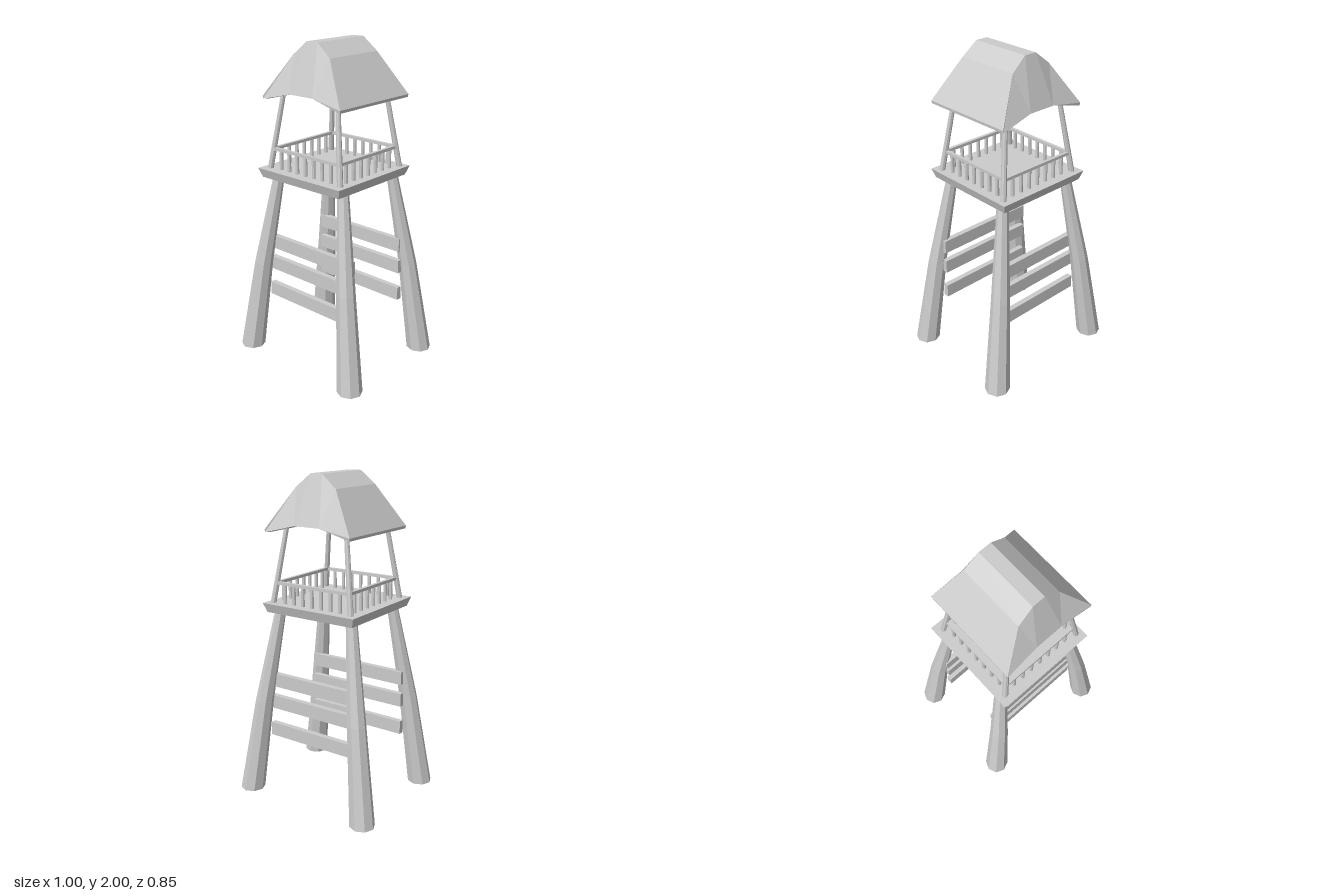
import * as THREE from 'three';

const material = new THREE.MeshStandardMaterial({ color: 0xcccccc, flatShading: true });
const roofMaterial = new THREE.MeshStandardMaterial({ color: 0xcccccc, flatShading: true, side: THREE.DoubleSide });

function add(parent, name, geometry, x = 0, y = 0, z = 0, mat = material) {
  const mesh = new THREE.Mesh(geometry, mat);
  mesh.name = name;
  mesh.position.set(x, y, z);
  parent.add(mesh);
  return mesh;
}

// Leaning pole: horizontal rings [x, y, z, radius] listed from bottom to top.
function pole(rings, sides) {
  const rows = rings.length - 1;
  const geometry = new THREE.CylinderGeometry(1, 1, rows, sides, rows);
  const p = geometry.attributes.position;
  for (let i = 0; i < p.count; i++) {
    const [x, y, z, r] = rings[Math.round(p.getY(i) + rows / 2)];
    p.setXYZ(i, x + p.getX(i) * r, y, z + p.getZ(i) * r);
  }
  geometry.computeVertexNormals();
  return geometry;
}

// Curved roof shell: an 8-point section loop swept through stations along x.
function roofGeometry() {
  // [top x, top y, top z, lower x, lower y, lower z]
  const half = [
    [-0.299, 1.674, 0.304, -0.297, 1.657, 0.302],
    [-0.138, 1.92, 0.204, -0.088, 1.708, 0.293],
    [-0.04, 1.998, 0.197, -0.088, 1.708, 0.293],
  ];
  const mirrored = half.map(([a, b, c, d, e, f]) => [-a, b, c, -d, e, f]).reverse();
  const stations = [...half, ...mirrored];
  const positions = [], index = [];
  stations.forEach(([x, y, z, lx, ly, lz], s) => {
    const end = s === 0 || s === stations.length - 1;
    const ix = lx * 0.94, iz = lz * 0.94;
    const top = end ? [ix, ly + 0.002, iz] : [x * 0.95, y - 0.022, z * 0.93];
    positions.push(
      x, y, z, x, y, -z, lx, ly, -lz, ix, ly, -iz,
      top[0], top[1], -top[2], ...top, ix, ly, iz, lx, ly, lz);
  });
  const quad = (a, b, c, d) => index.push(a, b, c, a, c, d);
  for (let s = 0; s < stations.length - 1; s++) {
    for (let j = 0; j < 8; j++) {
      const k = (j + 1) % 8, o = s * 8;
      quad(o + j, o + 8 + j, o + 8 + k, o + k);
    }
  }
  // Close the two eaves.
  const e = (stations.length - 1) * 8;
  for (const [a, b, c, d] of [[0, 1, 2, 7], [7, 2, 3, 6], [6, 3, 4, 5]]) {
    quad(a, b, c, d);
    quad(e + d, e + c, e + b, e + a);
  }
  const geometry = new THREE.BufferGeometry();
  geometry.setAttribute('position', new THREE.Float32BufferAttribute(positions, 3));
  geometry.setIndex(index);
  geometry.computeVertexNormals();
  return geometry;
}

export function createModel() {
  const tower = new THREE.Group();
  tower.name = 'watchtower';

  // Four splayed legs, slightly bent halfway up
  for (const sx of [-1, 1]) for (const sz of [-1, 1]) {
    add(tower, 'leg', pole([
      [sx * 0.422, 0, sz * 0.348, 0.077],
      [sx * 0.345, 0.6, sz * 0.298, 0.057],
      [sx * 0.257, 1.19, sz * 0.225, 0.034],
    ], 8));
  }

  // Cross planks on the front and back
  for (const z of [0.231, -0.238]) for (const y of [0.398, 0.585, 0.732]) {
    add(tower, 'crossPlank', new THREE.BoxGeometry(z > 0 ? 0.68 : 0.66, 0.085, 0.035), 0, y, z);
  }

  // Platform, narrower underneath
  const slab = new THREE.BoxGeometry(0.65, 0.057, 0.65);
  const p = slab.attributes.position;
  for (let i = 0; i < p.count; i++) {
    if (p.getY(i) < 0) p.setXYZ(i, p.getX(i) * 0.94, p.getY(i), p.getZ(i) * 0.94);
  }
  slab.computeVertexNormals();
  add(tower, 'platform', slab, 0, 1.206, 0.012);

  // Upper cabin frame: leaning posts that carry the roof
  const cabin = new THREE.Group();
  cabin.name = 'cabin';
  cabin.position.set(0.005, 0, 0.01);
  tower.add(cabin);
  for (const sx of [-1, 1]) for (const sz of [-1, 1]) {
    add(cabin, 'roofPost', pole([
      [sx * 0.28, 1.225, sz * 0.272, 0.018],
      [sx * 0.2, 1.76, sz * 0.205, 0.014],
    ], 8));
  }

  // Railing: one handrail with seven balusters on each side
  for (let side = 0; side < 4; side++) {
    const railing = new THREE.Group();
    railing.name = 'railing';
    railing.rotation.y = side * Math.PI / 2;
    add(railing, 'handrail', new THREE.BoxGeometry(0.52, 0.018, 0.02), 0, 1.355, 0.258);
    for (let i = -3; i <= 3; i++) {
      add(railing, 'baluster', new THREE.CylinderGeometry(0.011, 0.011, 0.125, 8), i * 0.066, 1.29, 0.258);
    }
    cabin.add(railing);
  }

  // Roof
  add(tower, 'roof', roofGeometry(), 0.013, 0, 0.012, roofMaterial);

  return tower;
}
